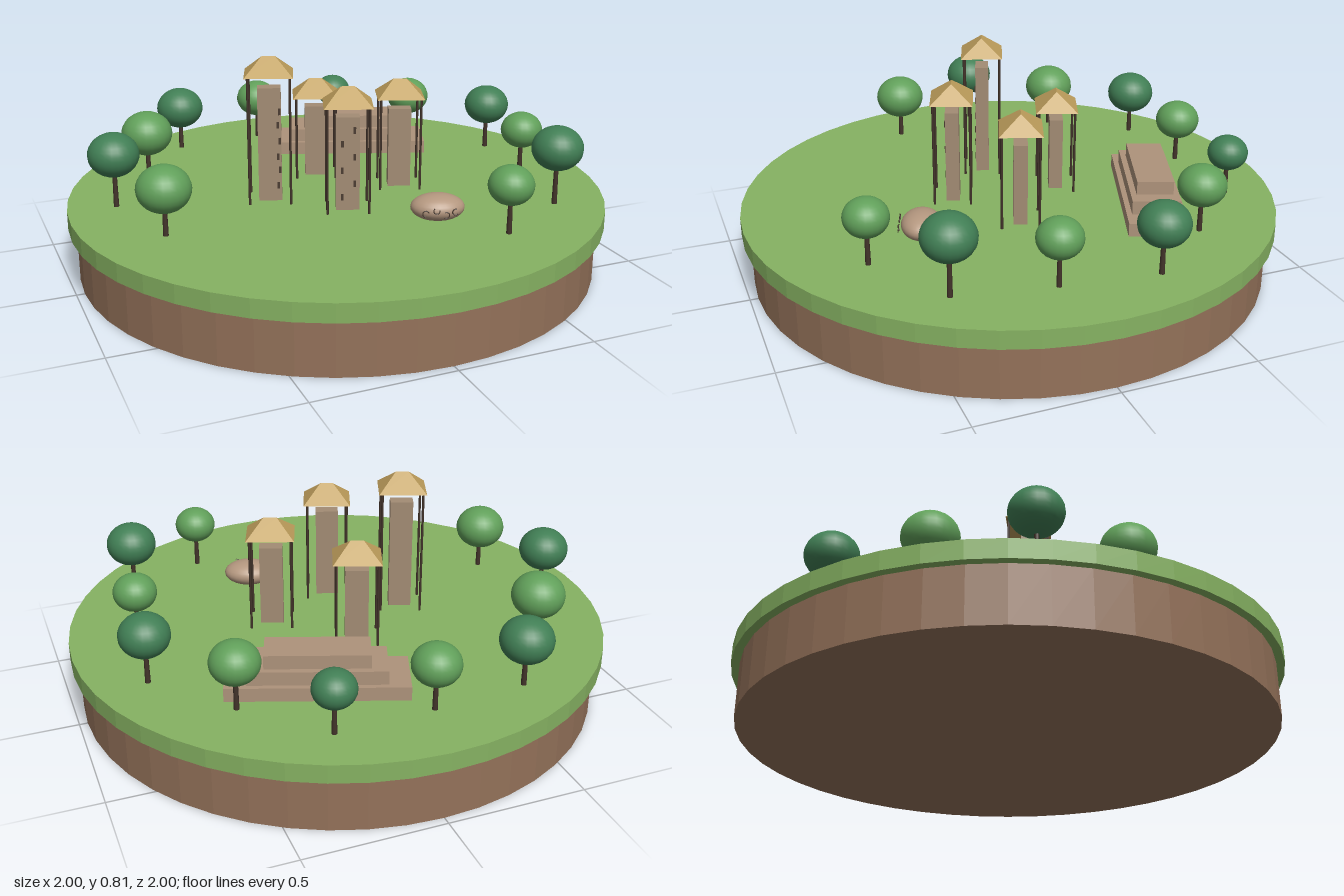
import * as THREE from 'three';

const mat = (name, color, extra = {}) => {
  const m = new THREE.MeshStandardMaterial({ color, ...extra });
  m.name = name;
  return m;
};

export function createModel() {
  const M = {
    grass: mat('grass', 0x86b262, { flatShading: true }),
    earth: mat('earth', 0x94725a, { flatShading: true }),
    stone: mat('tower stone', 0xa38c74),
    step: mat('step stone', 0xae937b),
    rock: mat('boulder stone', 0xb4977f),
    thatch: mat('thatch', 0xbf9f5c, { flatShading: true, side: THREE.DoubleSide }),
    wood: mat('dark wood', 0x42332a),
    leafLight: mat('light leaves', 0x61a05a),
    leafDark: mat('dark leaves', 0x417f55),
    mark: mat('carved dark', 0x4a3b30),
  };
  const root = new THREE.Group();
  const GROUND = 0.267;
  const TURN = -0.35; // shared heading of the ruins

  const add = (parent, name, geo, material, x = 0, y = 0, z = 0) => {
    const m = new THREE.Mesh(geo, material);
    m.name = name;
    m.position.set(x, y, z);
    parent.add(m);
    return m;
  };
  const group = (name, x, y, z, turn = 0) => {
    const g = new THREE.Group();
    g.name = name;
    g.position.set(x, y, z);
    g.rotation.y = turn;
    root.add(g);
    return g;
  };

  // Round base
  add(root, 'earthBase', new THREE.CylinderGeometry(0.97, 0.97, 0.2, 48), M.earth, 0, 0.1, 0);
  add(root, 'grassTop', new THREE.CylinderGeometry(1, 1, 0.067, 48), M.grass, 0, 0.2335, 0);

  // Trees: x, z, crown radius, crown centre height, dark crown
  const trees = [
    [-0.41, -0.715, 0.094, 0.44, 1], [-0.06, -0.75, 0.085, 0.437, 0],
    [0.3, -0.767, 0.075, 0.432, 1], [0.548, -0.516, 0.087, 0.443, 0],
    [0.782, -0.243, 0.09, 0.45, 1], [0.74, 0.107, 0.08, 0.443, 0],
    [0.677, 0.457, 0.094, 0.48, 1], [0.375, 0.645, 0.08, 0.443, 0],
    [-0.62, -0.425, 0.098, 0.437, 0], [-0.813, -0.126, 0.093, 0.465, 1],
    [-0.717, 0.216, 0.096, 0.437, 0],
  ];
  const crownGeo = new THREE.SphereGeometry(1, 24, 16);
  for (const [x, z, r, cy, dark] of trees) {
    const g = group('tree', x, GROUND, z);
    const h = cy - GROUND;
    add(g, 'trunk', new THREE.CylinderGeometry(0.007, 0.01, h, 8), M.wood, 0, h / 2, 0);
    add(g, 'crown', crownGeo, dark ? M.leafDark : M.leafLight, 0, h, 0).scale.set(r, r * 0.87, r);
  }

  // Hip roof with a short ridge along x
  const hipRoof = (hx, hz, ridge, h) => {
    const a = [-hx, 0, -hz], b = [hx, 0, -hz], c = [hx, 0, hz], d = [-hx, 0, hz];
    const p = [-ridge, h, 0], q = [ridge, h, 0];
    const faces = [d, c, q, d, q, p, b, a, p, b, p, q, c, b, q, a, d, p, a, b, c, a, c, d];
    const geo = new THREE.BufferGeometry();
    geo.setAttribute('position', new THREE.Float32BufferAttribute(faces.flat(), 3));
    geo.computeVertexNormals();
    return geo;
  };
  const roofGeo = hipRoof(0.088, 0.078, 0.024, 0.064);

  // Sheltered towers: x, z, shaft top, eave height, windows [x, height above ground]
  const towers = [
    [-0.265, 0.008, 0.695, 0.743, [0.06, 0.12, 0.17, 0.23, 0.29, 0.34].map((y, i) => [0.03 + 0.006 * (i % 2), y])],
    [-0.04, 0.206, 0.615, 0.658, [0.05, 0.1, 0.15, 0.2, 0.25, 0.3].map((y, i) => [i % 2 ? 0.024 : -0.02, y])],
    [-0.005, -0.195, 0.545, 0.588, []],
    [0.24, 0.045, 0.572, 0.62, []],
  ];
  for (const [x, z, top, eave, windows] of towers) {
    const g = group('tower', x, GROUND, z, TURN);
    const h = top - GROUND, e = eave - GROUND;
    add(g, 'shaft', new THREE.BoxGeometry(0.085, h, 0.05), M.stone, 0, h / 2, 0);
    for (const [wx, wy] of windows)
      add(g, 'window', new THREE.BoxGeometry(0.009, 0.024, 0.004), M.mark, wx, wy, 0.026);
    for (const sx of [-1, 1])
      for (const sz of [-1, 1])
        add(g, 'post', new THREE.CylinderGeometry(0.0045, 0.0045, e, 8), M.wood, sx * 0.075, e / 2, sz * 0.067);
    add(g, 'roof', roofGeo, M.thatch, 0, e, 0);
  }

  // Stepped platform
  const platform = group('steppedPlatform', 0.246, GROUND, -0.467, TURN);
  [[0.626, 0.212], [0.475, 0.174], [0.36, 0.132]].forEach(([w, d], i) =>
    add(platform, 'step', new THREE.BoxGeometry(w, 0.05, d), M.step, 0, 0.025 + 0.05 * i, 0));

  // Carved boulder with small ring marks on its front
  const boulder = group('boulder', 0.22, 0.305, 0.41, TURN);
  add(boulder, 'rock', crownGeo, M.rock).scale.set(0.097, 0.048, 0.073);
  [[-0.05, 0.002, 0.3], [-0.012, 0.012, 2.2], [0.022, -0.004, 4], [0.054, 0.008, 1.2]].forEach(([x, y, a]) => {
    const ring = add(boulder, 'carving', new THREE.TorusGeometry(0.011, 0.002, 6, 14, 4.4), M.mark, x, y, 0.079);
    ring.rotation.z = a;
  });

  return root;
}
